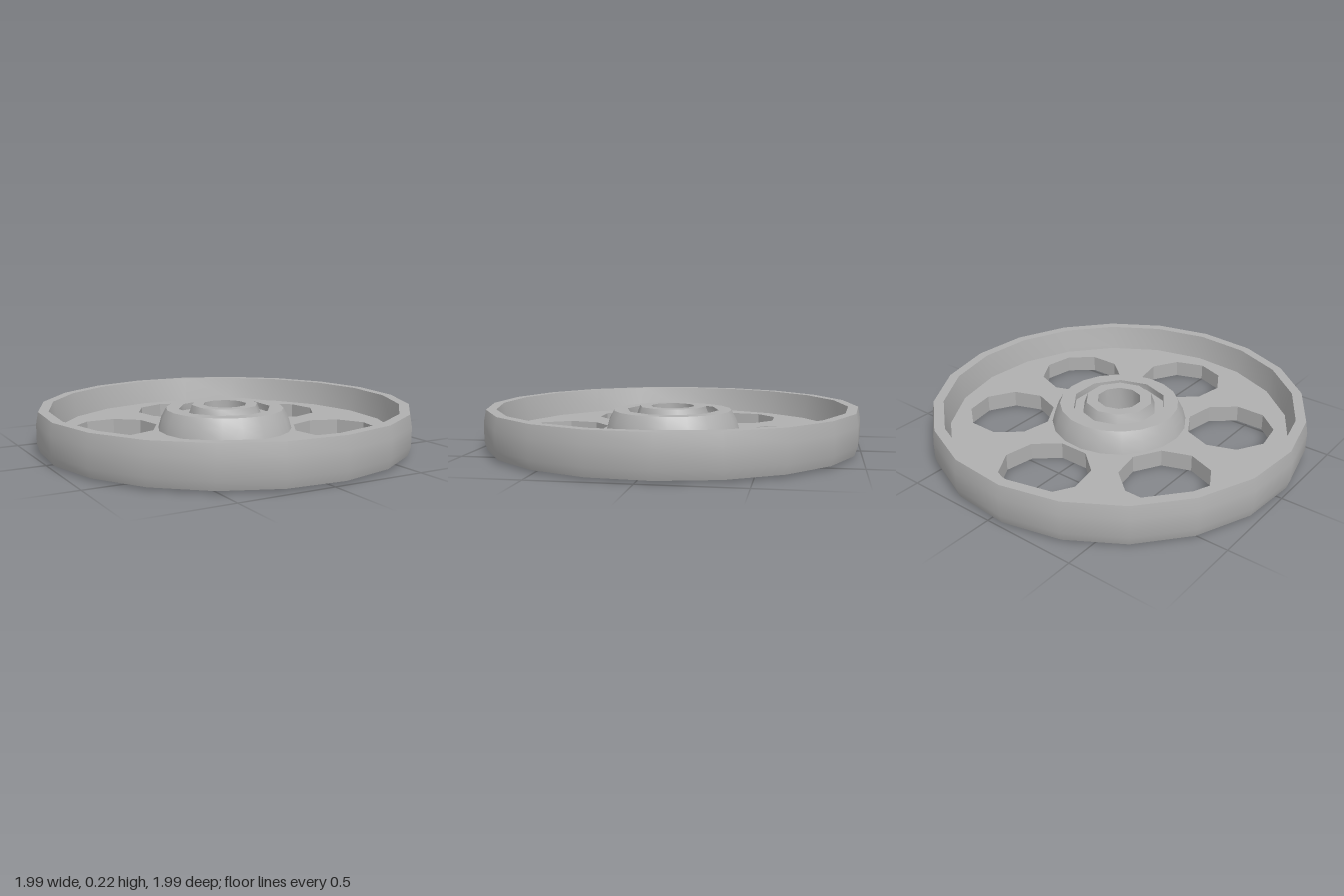
import * as THREE from 'three';
import { toCreasedNormals } from 'three/addons/utils/BufferGeometryUtils.js';

const TAU = Math.PI * 2;
const TURN = THREE.MathUtils.degToRad(4.5); // rim facets are turned slightly
const CREASE = 0.68;

// Regular polygon in plan, as shape points (shape y = -z)
function polygon(radius, sides, start = 0, cx = 0, cz = 0) {
  return Array.from({ length: sides }, (_, i) => {
    const a = start + (i / sides) * TAU;
    return new THREE.Vector2(cx + radius * Math.sin(a), -(cz + radius * Math.cos(a)));
  });
}

function lathe(profile, sides, start) {
  const points = profile.map(([r, y]) => new THREE.Vector2(r, y));
  return toCreasedNormals(new THREE.LatheGeometry(points, sides, start), CREASE);
}

export function createModel() {
  const group = new THREE.Group();
  const grey = new THREE.MeshStandardMaterial({ color: 0xb0b0b0 });
  grey.name = 'grey';
  const add = (name, geometry) => {
    const mesh = new THREE.Mesh(geometry, grey);
    mesh.name = name;
    group.add(mesh);
    return mesh;
  };

  // Raised rim with a slightly rounded outside and sloped inside
  add('rim', lathe([
    [0.91, 0], [0.985, 0.013], [1.0, 0.06], [1.0, 0.16],
    [0.988, 0.225], [0.935, 0.225], [0.91, 0.09],
  ], 20, TURN));

  // Web plate with six round cut-outs and a bore for the bearing
  const plate = new THREE.Shape(polygon(0.91, 20, TURN));
  plate.holes.push(new THREE.Path(polygon(0.25, 10)));
  for (let i = 0; i < 6; i++) {
    const a = (i / 6) * TAU;
    plate.holes.push(new THREE.Path(
      polygon(0.232, 9, a, 0.598 * Math.sin(a), 0.598 * Math.cos(a))));
  }
  const web = new THREE.ExtrudeGeometry(plate, { depth: 0.09, bevelEnabled: false });
  web.rotateX(-Math.PI / 2);
  add('webPlate', toCreasedNormals(web, CREASE));

  // Tapered hub and its flat top
  add('hubWall', lathe([[0.362, 0.09], [0.345, 0.15], [0.318, 0.2]], 20, TURN));
  const top = new THREE.Shape(polygon(0.318, 20, TURN));
  top.holes.push(new THREE.Path(polygon(0.25, 10)));
  const topGeometry = new THREE.ShapeGeometry(top);
  topGeometry.rotateX(-Math.PI / 2);
  add('hubTop', topGeometry).position.y = 0.2;

  // Recesses and bearing with a through hole
  add('bearing', lathe([
    [0.25, 0.2], [0.25, 0.165], [0.2, 0.165], [0.18, 0.22], [0.118, 0.22],
    [0.118, 0.005], [0.18, 0.005], [0.2, 0.045], [0.25, 0.045],
  ], 10, 0));

  return group;
}
